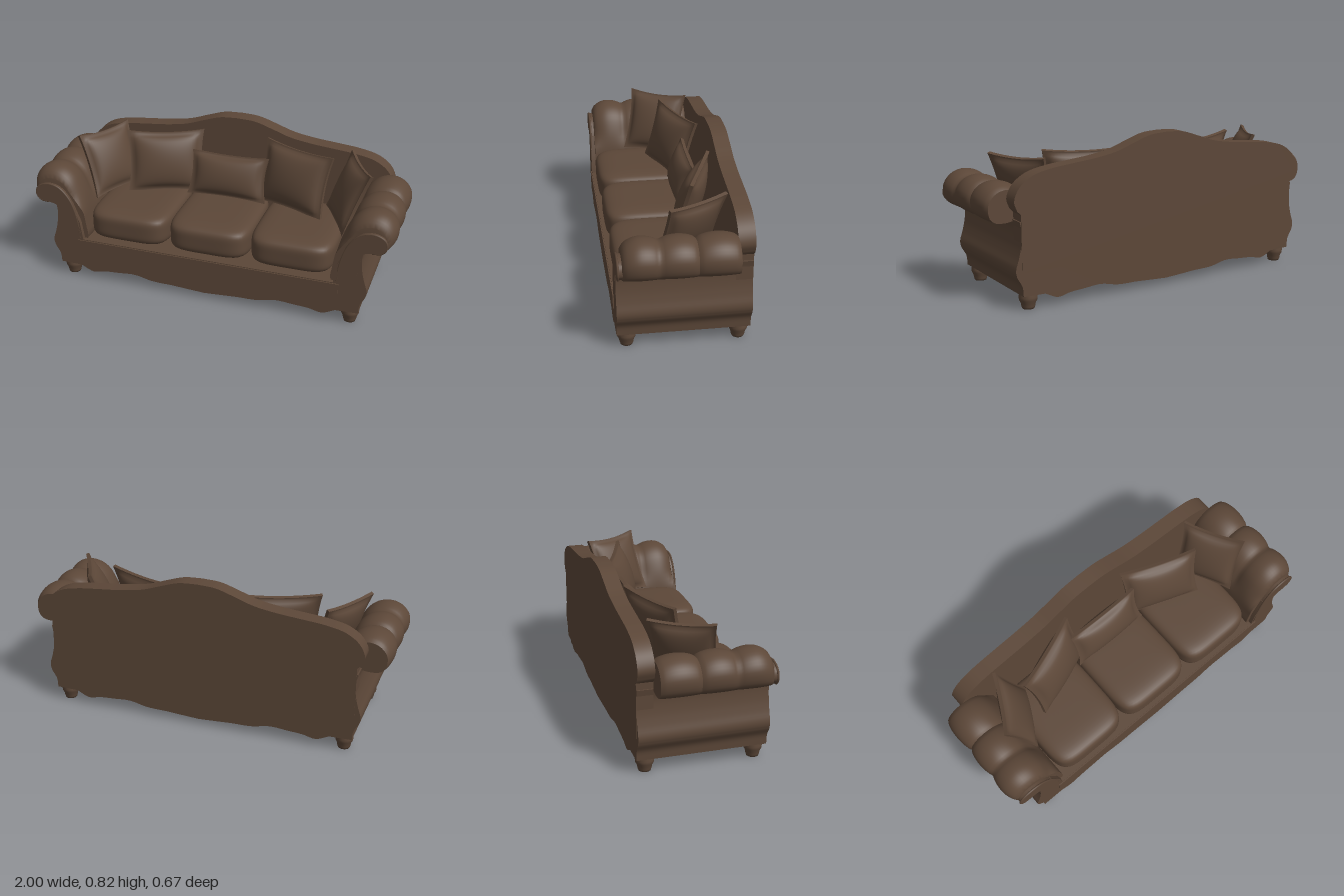
import * as THREE from 'three';
import { toCreasedNormals, mergeVertices } from 'three/addons/utils/BufferGeometryUtils.js';

const V2 = (p) => new THREE.Vector2(p[0], p[1]);

// Smooth list of points through a few control points
const smooth = (pts, n, closed = false) =>
  new THREE.CatmullRomCurve3(pts.map((p) => new THREE.Vector3(p[0], p[1], 0)), closed)
    .getPoints(n).map((v) => [v.x, v.y]);

// Closed outline from its right half, listed from the centre line outwards
const mirrored = (half) => half.concat(half.map(([x, y]) => [-x, y]).reverse());

// Slab between two depths, with an optional rule that moves its vertices
function slab(outline, z0, z1, steps = 1, rule = null) {
  const g = new THREE.ExtrudeGeometry(new THREE.Shape(outline.map(V2)), {
    depth: z1 - z0, steps, bevelEnabled: false,
  });
  g.translate(0, 0, z0);
  if (rule) moveVertices(g, rule);
  return toCreasedNormals(g, 0.7);
}

function moveVertices(g, rule) {
  const p = g.attributes.position;
  const v = new THREE.Vector3();
  for (let i = 0; i < p.count; i++) {
    v.fromBufferAttribute(p, i);
    rule(v);
    p.setXYZ(i, v.x, v.y, v.z);
  }
}

// Soft seat cushion: a cube rounded into a superellipsoid
function cushionGeometry(hx, hy, hz) {
  let g = new THREE.BoxGeometry(2, 2, 2, 18, 18, 18);
  const n = 5;
  moveVertices(g, (v) => {
    const k = (Math.abs(v.x) ** n + Math.abs(v.y) ** n + Math.abs(v.z) ** n) ** (-1 / n);
    v.multiplyScalar(k);
    v.set(v.x * hx, v.y * hy, v.z * hz);
  });
  g.deleteAttribute('uv');
  g.deleteAttribute('normal');
  g = mergeVertices(g, 1e-5);
  g.computeVertexNormals();
  return g;
}

// Throw pillow: pinched corners, swollen middle and a flat flange
function pillowGeometry(w, h, t) {
  const g = new THREE.BoxGeometry(2, 2, 2, 26, 26, 1);
  moveVertices(g, (v) => {
    const { x: u, y: s } = v;
    const a = Math.max(0, 1 - (u / 0.88) ** 2);
    const b = Math.max(0, 1 - (s / 0.88) ** 2);
    v.z = Math.sign(v.z) * (0.009 + t * (a * b) ** 0.45);
    v.x = u * (w / 2) * (1 - 0.08 * (1 - s * s));
    v.y = s * (h / 2) * (1 - 0.09 * (1 - u * u));
  });
  g.computeVertexNormals();
  return g;
}

export function createModel() {
  const model = new THREE.Group();
  model.name = 'sofa';
  const fabric = new THREE.MeshStandardMaterial({ color: 0x5c4738 });
  fabric.name = 'brown fabric';
  const add = (name, geometry, x = 0, y = 0, z = 0) => {
    const m = new THREE.Mesh(geometry, fabric);
    m.name = name;
    m.position.set(x, y, z);
    model.add(m);
    return m;
  };

  // Base frame with scalloped lower edge and flared sides
  const scallop = smooth([[0, 0.035], [0.12, 0.042], [0.18, 0.046], [0.3, 0.05], [0.4, 0.07],
    [0.5, 0.064], [0.58, 0.058], [0.65, 0.045], [0.72, 0.075]], 40);
  const flank = smooth([[0.84, 0.078], [0.845, 0.13], [0.872, 0.18], [0.878, 0.215], [0.862, 0.27],
    [0.848, 0.33], [0.842, 0.4], [0.852, 0.455]], 28);
  const inner = [[0.76, 0.455], [0.715, 0.34], [0.7, 0.24]];
  add('baseFrame', slab(mirrored([...scallop, ...flank, ...inner]), -0.333, 0.333));
  add('frontRailTrim', new THREE.BoxGeometry(1.46, 0.07, 0.01), 0, 0.2, 0.334);

  // Camel-shaped back
  const crest = smooth([[0, 0.82], [0.1, 0.813], [0.2, 0.782], [0.3, 0.748], [0.42, 0.727],
    [0.55, 0.714], [0.68, 0.7], [0.78, 0.675], [0.85, 0.625], [0.88, 0.56], [0.865, 0.51]], 50);
  add('backrest', slab(mirrored([...crest, [0.845, 0.49], [0.845, 0.2]]), -0.335, -0.25));

  // Rolled arms with three puffs, and their scrolled front panels
  const armSection = [[0.685, 0.24], [0.69, 0.33], [0.705, 0.42], [0.735, 0.51], [0.775, 0.58],
    [0.83, 0.62], [0.9, 0.63], [0.96, 0.605], [0.997, 0.55], [0.99, 0.48], [0.95, 0.445],
    [0.89, 0.438], [0.835, 0.44], [0.8, 0.36], [0.78, 0.24]];
  const scroll = [[0.72, 0.25], [0.73, 0.35], [0.77, 0.47], [0.83, 0.535], [0.9, 0.548],
    [0.95, 0.525], [0.962, 0.485], [0.94, 0.452], [0.89, 0.444], [0.845, 0.43], [0.83, 0.36], [0.8, 0.25]];
  const seams = [0.31, 0.13, -0.05, -0.25];
  const puff = (side) => (v) => {
    const i = v.z > seams[1] ? 0 : v.z > seams[2] ? 1 : 2;
    const t = THREE.MathUtils.clamp((seams[i] - v.z) / (seams[i] - seams[i + 1]), 0, 1);
    const low = i === 0 && t < 0.5 ? 0.72 : 0.85;
    const s = low + (1 - low) * Math.sin(Math.PI * t) ** 0.6;
    const k = 1 + (s - 1) * THREE.MathUtils.smoothstep(v.y, 0.38, 0.5);
    v.x = side * (0.86 + (side * v.x - 0.86) * k);
    if (v.y > 0.44) v.y = 0.44 + (v.y - 0.44) * k;
  };
  for (const side of [1, -1]) {
    const label = side > 0 ? 'left' : 'right';
    const flip = (pts) => pts.map(([x, y]) => [side * x, y]);
    add(label + 'Arm', slab(smooth(flip(armSection), 56, true).slice(0, -1), -0.25, 0.31, 42, puff(side)));
    add(label + 'ArmFront', slab(smooth(flip(scroll), 56, true).slice(0, -1), 0.27, 0.335));
    const edge = new THREE.CatmullRomCurve3(
      flip(scroll).slice(0, 9).map(([x, y]) => new THREE.Vector3(x, y, 0.33)));
    add(label + 'ArmPiping', new THREE.TubeGeometry(edge, 48, 0.006, 6));
  }

  // Three seat cushions
  const seat = cushionGeometry(0.227, 0.09, 0.27);
  for (const i of [-1, 0, 1]) add('seatCushion', seat, i * 0.455, 0.33, 0.05);

  // Throw pillows leaning on the back and arms
  const pillow = (name, geometry, x, y, z, turn, lean) =>
    add(name, geometry, x, y, z).rotation.set(-lean, turn, 0, 'YXZ');
  pillow('centrePillow', pillowGeometry(0.45, 0.25, 0.05), -0.01, 0.53, -0.11, 0, 0.3);
  const large = pillowGeometry(0.43, 0.35, 0.055);
  const outer = pillowGeometry(0.34, 0.36, 0.045);
  for (const side of [1, -1]) {
    pillow('backPillow', large, side * 0.37, 0.575, -0.1, -side * 0.36, 0.28);
    pillow('armPillow', outer, side * 0.68, 0.565, -0.05, -side * 1.08, 0.38);
  }

  // Turned feet
  const foot = new THREE.LatheGeometry([[0, 0], [0.031, 0], [0.035, 0.012], [0.038, 0.03], [0.046, 0.045],
    [0.048, 0.06], [0.045, 0.075], [0.045, 0.09], [0, 0.09]].map(V2), 20);
  for (const x of [-0.79, 0.79]) for (const z of [-0.28, 0.28]) add('foot', foot, x, 0, z);

  return model;
}
